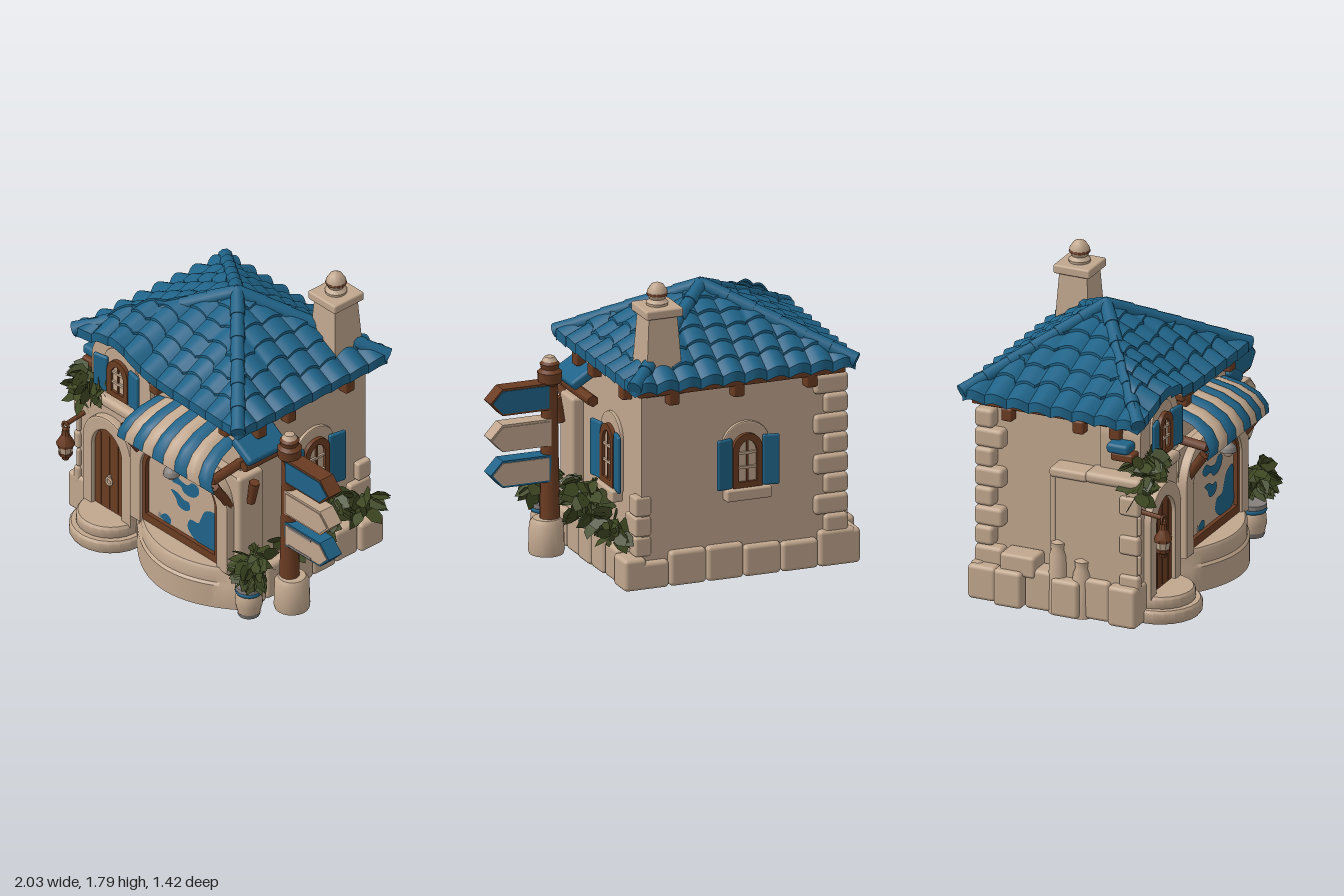
import * as THREE from 'three';
import { mergeGeometries, toCreasedNormals } from 'three/addons/utils/BufferGeometryUtils.js';
import { RoundedBoxGeometry } from 'three/addons/geometries/RoundedBoxGeometry.js';

const mat = (name, color, side = THREE.FrontSide) => {
  const m = new THREE.MeshStandardMaterial({ color, side });
  m.name = name;
  return m;
};
const stone = mat('stone', 0xc1a78e, THREE.DoubleSide), blue = mat('blue tile', 0x1f6388, THREE.DoubleSide);
const wood = mat('wood', 0x6b3c22), leafGreen = mat('leaf', 0x3d4722, THREE.DoubleSide), grey = mat('grey', 0x85807d);

let seed = 7;
const rnd = () => (seed = (seed * 16807) % 2147483647) / 2147483647;
const V = (x, y, z) => new THREE.Vector3(x, y, z);

function add(parent, name, geo, material, x = 0, y = 0, z = 0) {
  const m = new THREE.Mesh(geo, material);
  m.name = name;
  m.position.set(x, y, z);
  parent.add(m);
  return m;
}
// Box given by its minimum and maximum corners
function block(parent, name, material, a, b, r = 0.012) {
  const s = b.map((v, i) => v - a[i]);
  const geo = r ? new RoundedBoxGeometry(...s, 2, Math.min(r, ...s.map(v => v * 0.45))) : new THREE.BoxGeometry(...s);
  return add(parent, name, geo, material, ...a.map((v, i) => (v + b[i]) / 2));
}
// Thin walls: only the listed sides of a box (0 +x, 1 -x, 2 top, 4 front, 5 back)
function shell(parent, name, a, b, sides) {
  const geo = block(parent, name, stone, a, b, 0).geometry, i = Array.from(geo.index.array);
  geo.setIndex(sides.flatMap(s => i.slice(s * 6, s * 6 + 6)));
  geo.clearGroups();
}
function beam(parent, name, material, a, b, r0, r1 = r0, sides = 10) {
  const d = b.clone().sub(a), m = add(parent, name, new THREE.CylinderGeometry(r1, r0, d.length(), sides), material);
  m.position.copy(a).addScaledVector(d, 0.5);
  m.quaternion.setFromUnitVectors(V(0, 1, 0), d.normalize());
}
function lathe(parent, name, material, pts, x, y, z, sides = 20) {
  const geo = new THREE.LatheGeometry(pts.map(p => new THREE.Vector2(...p)), sides);
  return add(parent, name, toCreasedNormals(geo, 0.7), material, x, y, z);
}
// Upright opening with rounded top corners
function arch(w, h, rx, ry, y0 = 0) {
  const s = new THREE.Shape();
  s.moveTo(-w / 2, y0).lineTo(w / 2, y0).lineTo(w / 2, h - ry);
  s.absellipse(w / 2 - rx, h - ry, rx, ry, 0, Math.PI / 2);
  s.absellipse(-w / 2 + rx, h - ry, rx, ry, Math.PI / 2, Math.PI);
  return s.closePath();
}
const extrude = (shape, depth, bevel = 0) => new THREE.ExtrudeGeometry(shape, {
  depth, bevelEnabled: bevel > 0, bevelSize: bevel, bevelThickness: bevel, bevelSegments: 2, curveSegments: 12 });
// Frame closed all round, and moulding open at the foot
function archFrame(w, h, rx, ry, t, depth) {
  const s = arch(w, h, rx, ry);
  s.holes.push(arch(w - 2 * t, h - t, rx - t / 2, ry - t / 2, t));
  return extrude(s, depth);
}
function archMoulding(w, h, rx, ry, t, depth, bevel) {
  const outer = arch(w, h, rx, ry).getPoints(12).slice(1);
  const inner = arch(w - 2 * t, h - t, rx - t / 2, ry - t / 2).getPoints(12).slice(1);
  return extrude(new THREE.Shape([...outer, ...inner.reverse()]), depth, bevel);
}
// Surface through a grid of points f(i, j), facing i cross j
function gridGeo(nu, nv, f) {
  const pos = [], idx = [];
  for (let j = 0; j <= nv; j++) for (let i = 0; i <= nu; i++) pos.push(...f(i / nu, j).toArray());
  for (let j = 0; j < nv; j++) for (let i = 0; i < nu; i++) {
    const a = j * (nu + 1) + i, c = a + nu + 1;
    idx.push(a, a + 1, c + 1, a, c + 1, c);
  }
  const g = new THREE.BufferGeometry();
  g.setAttribute('position', new THREE.Float32BufferAttribute(pos, 3));
  g.setIndex(idx);
  g.computeVertexNormals();
  return toCreasedNormals(g, 0.7);
}

// One tiled slope: rounded tile columns in overlapping rows, with a lip at the eave
function roofSide(parent, A, B, P, cols, brow) {
  const along = B.clone().sub(A), sP = P.clone().sub(A).dot(along) / along.lengthSq();
  const out = V(-along.z, 0, along.x).normalize(), rows = 6;
  add(parent, 'roofSlope', gridGeo(cols * 8, rows * 2, (s, j) => {
    const k = s < sP ? s / sP : (1 - s) / (1 - sP), col = Math.min(cols - 1, Math.floor(s * cols));
    const row = Math.floor((j - 1) / 2), top = (j - 1) % 2;
    const level = j < 2 ? 0 : (row + top) / rows + (row + top < rows ? 0.022 * Math.sin(col * 2.4) : 0);
    const up = Math.min(k, Math.max(0, level));
    const e = A.clone().lerp(B, s), hip = (s < sP ? A : B).clone().lerp(P, k);
    const p = e.lerp(hip, k > 1e-6 ? up / k : 0), wave = Math.abs(Math.sin(Math.PI * s * cols));
    p.y += 0.03 * wave * (1 - up * 0.5) + (top === 1 ? 0.002 : 0.018) + 0.02 * Math.sin(Math.PI * up);
    if (up === 0) p.addScaledVector(out, 0.025 * wave);
    if (brow) p.y += 0.09 * Math.exp(-(((p.x + 0.6) / 0.2) ** 2)) * (1 - up);
    if (j === 0) p.y -= 0.06;
    return p;
  }), blue);
}
function roof(g) {
  const P = V(-0.185, 1.605, -0.1);
  const c = [V(-0.94, 1.23, 0.46), V(0.46, 1.23, 0.49), V(0.46, 1.23, -0.665), V(-0.9, 1.23, -0.665)];
  c.forEach((A, i) => {
    roofSide(g, A, c[(i + 1) % 4], P, i % 2 ? 8 : 10, i === 0);
    for (let n = 0; n < 6; n++) {
      const a = A.clone().lerp(P, n / 6 - 0.01), b = A.clone().lerp(P, (n + 1) / 6 + 0.01);
      a.y += 0.02; b.y += 0.02;
      beam(g, 'hipTile', blue, a, b, 0.044, 0.038);
    }
  });
  add(g, 'roofPeak', new THREE.SphereGeometry(0.042, 12, 8), blue, P.x, P.y + 0.005, P.z);
  block(g, 'eaveBeam', wood, [-0.86, 1.165, -0.63], [0.42, 1.22, 0.36]);
  block(g, 'eaveBeam', wood, [-0.34, 1.17, 0.3], [0.42, 1.22, 0.46]);
  for (const z of [-0.4, 0.05, 0.28]) for (const x of [-0.84, 0.4]) block(g, 'rafterEnd', wood, [x - 0.04, 1.1, z - 0.035], [x + 0.04, 1.18, z + 0.035]);
  for (const x of [-0.65, -0.2, 0.2]) block(g, 'rafterEnd', wood, [x - 0.035, 1.1, -0.63], [x + 0.035, 1.18, -0.55]);
  for (const x of [-0.28, 0.3]) block(g, 'rafterEnd', wood, [x - 0.035, 1.13, 0.38], [x + 0.035, 1.19, 0.47]);
}

// Shuttered window facing +z, sill at the local origin
function shutterWindow(parent, w, h, sw, x, y, z, ry, sill) {
  const g = new THREE.Group();
  g.name = 'shutteredWindow';
  g.position.set(x, y, z); g.rotation.y = ry;
  parent.add(g);
  add(g, 'windowSurround', extrude(arch(w + 0.09, h + 0.06, w / 2 + 0.045, w / 2 + 0.03), 0.012, 0.008), stone);
  add(g, 'windowFrame', archFrame(w, h, w / 2, w / 2, 0.035, 0.045), wood);
  add(g, 'windowPane', extrude(arch(w - 0.02, h - 0.02, w / 2 - 0.01, w / 2 - 0.01, 0.01), 0.028), stone);
  block(g, 'mullion', wood, [-0.006, 0.02, 0.02], [0.006, h - 0.02, 0.038], 0);
  for (const q of [0.35, 0.62]) block(g, 'mullion', stone, [-w / 2 + 0.03, h * q, 0.02], [w / 2 - 0.03, h * q + 0.015, 0.04], 0);
  for (const s of [-1, 1]) {
    const m = block(g, 'shutter', blue, [-sw / 2, 0, -0.012], [sw / 2, h * 0.94, 0.014]);
    m.position.x = s * (w / 2 + sw / 2 + 0.003); m.position.z = 0.04;
    m.rotation.y = -s * 0.2;
  }
  if (sill) block(g, 'windowSill', stone, [-w / 2 - 0.05, -0.07, 0], [w / 2 + 0.05, 0, 0.07]);
}

// Clump of broad leaves around an ellipsoid
const leafShape = new THREE.Shape().moveTo(0, 0).lineTo(0.045, 0.03).lineTo(0.04, 0.075).lineTo(0, 0.12).lineTo(-0.04, 0.075).lineTo(-0.045, 0.03).closePath();
function foliage(parent, x, y, z, rx, ry, rz, n = 30) {
  const leaves = [];
  for (let i = 0; i < n; i++) {
    const d = V(rnd() - 0.5, rnd() - 0.5, rnd() - 0.5).normalize();
    const l = new THREE.ShapeGeometry(leafShape).toNonIndexed();
    l.rotateY(rnd() * 6.28);
    l.applyQuaternion(new THREE.Quaternion().setFromUnitVectors(V(0, 1, 0), V(d.x, d.y * 0.4 - 0.35, d.z).normalize()));
    leaves.push(l.translate(d.x * rx * 0.5, d.y * ry * 0.8 + 0.02, d.z * rz * 0.5));
  }
  leaves.push(new THREE.IcosahedronGeometry(1, 0).scale(rx * 0.8, ry * 0.85, rz * 0.8));
  add(parent, 'foliage', mergeGeometries(leaves), leafGreen, x, y, z);
}

function walls(g) {
  shell(g, 'mainWalls', [-0.82, 0.02, -0.57], [0.38, 1.2, 0.4], [0, 1, 5]);
  shell(g, 'upperFrontWall', [-0.82, 0.88, 0.3], [0.38, 1.2, 0.4], [4]);
  shell(g, 'entranceBlock', [-0.93, 0.02, -0.08], [-0.41, 0.88, 0.45], [1, 4]);
  block(g, 'entranceReturn', stone, [-0.935, 0.02, -0.1], [-0.81, 0.88, -0.06], 0.015);
  block(g, 'entranceLedge', stone, [-0.95, 0.84, 0.12], [-0.4, 0.91, 0.48], 0.03);
  block(g, 'sideCoping', stone, [-0.95, 0.84, -0.1], [-0.8, 0.9, 0.14], 0.02);
  add(g, 'gable', extrude(arch(0.48, 0.43, 0.24, 0.2), 0.24, 0.01), stone, -0.59, 0.88, 0.18);
  // Foundation stones along the sides and back
  for (let i = 0; i < 6; i++) {
    const z = -0.61 + i * 0.18, h = 0.2 + 0.05 * rnd();
    block(g, 'foundationStone', stone, [0.36, 0.01, z], [0.47 + 0.03 * rnd(), h, z + 0.178], 0.025);
    block(g, 'foundationStone', stone, [-0.96 - 0.04 * (i % 2), 0.01, z], [-0.82, h + 0.02, z + 0.178], 0.025);
  }
  for (let i = 0; i < 6; i++) block(g, 'foundationStone', stone, [-0.93 + i * 0.23, 0.01, -0.61], [-0.703 + i * 0.23, 0.17 + 0.07 * rnd(), -0.53], 0.025);
  // Corner quoins
  for (let i = 0; i < 8; i++) {
    const y = 0.2 + i * 0.12, l = i % 2 ? 0.06 : 0;
    block(g, 'quoin', stone, [-0.89, y, -0.6], [-0.74 + l, y + 0.117, -0.42 - l], 0.025);
    if (i < 3) block(g, 'quoin', stone, [0.32, y, -0.578], [0.42, y + 0.117, -0.48 + l], 0.015);
    if (i < 5) block(g, 'quoin', stone, [-0.95 + l * 0.4, y, 0.34 + l], [-0.9, y + 0.117, 0.47], 0.02);
  }
  for (const [z, h] of [[-0.05, 0.45], [0.1, 0.36]]) lathe(g, 'sidePost', stone, [[0.06, 0], [0.055, h - 0.1], [0.04, h - 0.06], [0.045, h - 0.02], [0, h]], -0.92, 0.01, z, 12);
  block(g, 'sideLedge', stone, [-0.97, 0.2, -0.4], [-0.82, 0.33, -0.18], 0.02);
  // Small tiled hood beside the shop, with its beam and bracket
  const hood = block(g, 'sideHood', blue, [-0.09, -0.03, -0.15], [0.09, 0.03, 0.15], 0.02);
  hood.position.set(0.425, 1.06, 0.29); hood.rotation.z = -0.55;
  beam(g, 'hoodBeam', wood, V(0.43, 0.96, 0.02), V(0.43, 0.96, 0.42), 0.035, 0.035, 6);
  beam(g, 'hoodBracket', wood, V(0.47, 0.73, 0.4), V(0.5, 0.88, 0.4), 0.025, 0.032, 6);
  block(g, 'sideHood', blue, [-0.95, 1.05, 0.26], [-0.84, 1.11, 0.4], 0.02);
  block(g, 'hoodBeam', wood, [-0.93, 1.0, 0.28], [-0.84, 1.05, 0.42]);
}

function entrance(g) {
  add(g, 'doorSurround', archMoulding(0.38, 0.63, 0.19, 0.19, 0.055, 0.035, 0.012), stone, -0.64, 0.15, 0.45);
  add(g, 'door', extrude(arch(0.28, 0.57, 0.14, 0.14), 0.03), wood, -0.64, 0.15, 0.44);
  for (const x of [-0.07, 0, 0.07]) block(g, 'doorSeam', wood, [-0.643 + x, 0.17, 0.465], [-0.637 + x, 0.66, 0.474], 0);
  add(g, 'doorHandle', new THREE.TorusGeometry(0.022, 0.008, 6, 14), stone, -0.635, 0.36, 0.48);
  block(g, 'doorLatch', stone, [-0.645, 0.33, 0.47], [-0.625, 0.4, 0.482], 0);
  for (const [r, y, h] of [[0.24, 0.01, 0.08], [0.2, 0.08, 0.08]])
    lathe(g, 'step', stone, [[r - 0.01, 0], [r, 0.015], [r, h - 0.015], [r - 0.012, h], [0, h]], -0.64, y, 0.46, 24);
  // Hanging lantern
  beam(g, 'lanternArm', wood, V(-0.88, 0.7, 0.42), V(-0.88, 0.68, 0.59), 0.014);
  add(g, 'lanternRing', new THREE.TorusGeometry(0.025, 0.008, 6, 12), wood, -0.88, 0.67, 0.59);
  lathe(g, 'lanternRoof', wood, [[0.052, 0.54], [0.055, 0.56], [0.025, 0.61], [0.02, 0.65], [0, 0.66]], -0.88, 0, 0.59, 8);
  lathe(g, 'lanternGlass', stone, [[0.035, 0.48], [0.048, 0.55]], -0.88, 0, 0.59, 8);
  lathe(g, 'lanternBase', wood, [[0, 0.44], [0.02, 0.445], [0.025, 0.465], [0.04, 0.475], [0.042, 0.495], [0, 0.5]], -0.88, 0, 0.59, 8);
}

function shopFront(g) {
  // Bowed base with a sill
  const bow = new THREE.QuadraticBezierCurve3(V(-0.42, 0, 0.46), V(0.02, 0, 0.84), V(0.46, 0, 0.46));
  const baseProfile = [[0, 0.01], [0, 0.16], [0.015, 0.175], [0.015, 0.25], [0.03, 0.27], [0.2, 0.27]];
  add(g, 'bayBase', gridGeo(24, 5, (s, j) => {
    const p = bow.getPoint(s);
    return V(p.x, baseProfile[j][1], Math.max(0.44, p.z - baseProfile[j][0]));
  }), stone);
  shell(g, 'bayWall', [-0.42, 0.2, 0.38], [0.42, 0.9, 0.465], [2, 4]);
  block(g, 'bayEndWall', stone, [0.37, 0.02, 0.28], [0.45, 0.9, 0.468], 0.02);
  add(g, 'baySurround', archMoulding(0.8, 0.65, 0.26, 0.24, 0.07, 0.05, 0.012), stone, -0.01, 0.26, 0.46);
  add(g, 'displayFrame', archFrame(0.68, 0.59, 0.22, 0.2, 0.05, 0.045), wood, -0.01, 0.27, 0.46);
  add(g, 'displayPane', extrude(arch(0.64, 0.56, 0.2, 0.18), 0.02), stone, -0.01, 0.28, 0.46);
  // Painted patches on the pane
  const blobs = [
    [blue, [[-0.14, 0.67], [-0.09, 0.7], [-0.03, 0.67], [0.03, 0.665], [0.07, 0.7], [0.12, 0.69], [0.12, 0.64], [0.07, 0.6], [0, 0.6], [-0.03, 0.63], [-0.1, 0.63]]],
    [blue, [[-0.11, 0.57], [-0.06, 0.575], [0, 0.55], [0.04, 0.55], [0.05, 0.51], [0.01, 0.48], [-0.05, 0.49], [-0.07, 0.53]]],
    [blue, [[0.03, 0.38], [0.05, 0.44], [0.12, 0.45], [0.14, 0.49], [0.18, 0.56], [0.26, 0.58], [0.27, 0.45], [0.27, 0.34], [0.18, 0.315], [0.08, 0.33]]],
    [blue, [[-0.2, 0.34], [-0.15, 0.38], [-0.11, 0.36], [-0.12, 0.325]]],
    [grey, [[-0.22, 0.34], [-0.2, 0.37], [-0.19, 0.33]]],
    [blue, [[-0.16, 0.8], [0, 0.81], [0.16, 0.8], [0.15, 0.765], [0, 0.775], [-0.12, 0.765]]],
    [grey, [[-0.22, 0.79], [-0.17, 0.8], [-0.15, 0.77], [-0.19, 0.76]]],
    [grey, [[0.17, 0.8], [0.23, 0.78], [0.2, 0.76], [0.16, 0.77]]],
  ];
  for (const [m, pts] of blobs) {
    const s = new THREE.Shape().setFromPoints(new THREE.CatmullRomCurve3(pts.map(p => V(...p, 0)), true).getPoints(40).map(p => new THREE.Vector2(p.x, p.y)));
    add(g, 'panePatch', new THREE.ShapeGeometry(s), m, 0, 0, 0.484);
  }
  // Striped awning
  const prof = [[0.7, 0.92], [0.69, 0.98], [0.63, 1.05], [0.53, 1.1], [0.4, 1.13]], n = 9;
  for (let i = 0; i < n; i++) add(g, 'awningStripe', gridGeo(4, 4, (s, j) => {
    const u = ((i + s) / n) * 2 - 1, [z, y] = prof[j], puff = 0.01 * Math.sin(Math.PI * s);
    return V(0.01 + u * (0.41 - 0.02 * j), y - 0.06 * u * u + puff, z - 0.065 * u * u * (4 - j) / 4 + puff);
  }), i % 2 ? stone : blue);
  for (const x of [-0.36, 0.38]) {
    beam(g, 'awningBeam', wood, V(x, 0.96, 0.36), V(x, 0.93, 0.62), 0.03, 0.03, 6);
    beam(g, 'awningBracket', wood, V(x, 0.7, 0.48), V(x, 0.88, 0.6), 0.025, 0.03, 6);
  }
  const rail = new THREE.QuadraticBezierCurve3(V(-0.37, 0.87, 0.62), V(0.01, 0.95, 0.7), V(0.39, 0.87, 0.62));
  add(g, 'awningRail', new THREE.TubeGeometry(rail, 16, 0.015, 6), wood);
  lathe(g, 'shopLamp', grey, [[0.05, 0.77], [0.045, 0.8], [0.015, 0.83], [0.012, 0.9]], 0, 0, 0.58, 14);
  add(g, 'lampBulb', new THREE.SphereGeometry(0.03, 12, 8), stone, 0, 0.765, 0.58);
}

function signpost(g) {
  const x = 0.61, z = 0.23;
  lathe(g, 'postFoot', stone, [[0, 0], [0.1, 0], [0.105, 0.02], [0.1, 0.18], [0.08, 0.21], [0, 0.21]], 0.63, 0.02, z);
  lathe(g, 'post', wood, [[0.06, 0.2], [0.052, 0.6], [0.046, 1.02], [0.068, 1.04], [0.072, 1.1], [0.05, 1.12], [0.058, 1.15], [0.03, 1.18]], x, 0, z, 12);
  lathe(g, 'postCap', stone, [[0.045, 1.165], [0.03, 1.19], [0, 1.2]], x, 0, z, 12);
  for (const [y, body, face] of [[0.965, wood, blue], [0.75, stone, stone], [0.535, blue, stone]]) {
    const arrow = (e) => new THREE.Shape().moveTo(e, -0.08 + e).lineTo(0.3, -0.08 + e).lineTo(0.375 - e, 0).lineTo(0.3, 0.08 - e).lineTo(e, 0.08 - e).closePath();
    add(g, 'signBoard', extrude(arrow(0), 0.1), body, x + 0.01, y, 0.18);
    for (const f of [0.278, 0.174]) add(g, 'signFace', extrude(arrow(0.013), 0.008), face, x + 0.01, y, f);
  }
  for (const s of [-1, 1]) block(g, 'signTrim', grey, [0.66, 0.535 + s * 0.062 - 0.008, 0.28], [0.85, 0.535 + s * 0.062 + 0.008, 0.288], 0);
}

function chimney(g) {
  const c = add(g, 'chimneyStack', new THREE.CylinderGeometry(0.122, 0.165, 0.48, 4, 1).rotateY(Math.PI / 4).toNonIndexed(), stone, 0.24, 1.39, -0.47);
  c.geometry.computeVertexNormals();
  block(g, 'chimneyCap', stone, [0.125, 1.61, -0.585], [0.355, 1.665, -0.355]);
  lathe(g, 'chimneyPot', stone, [[0.062, 1.66], [0.065, 1.68], [0.045, 1.7], [0.06, 1.725], [0.058, 1.75], [0.035, 1.785], [0, 1.8]], 0.24, 0, -0.47, 14);
  add(g, 'chimneyPotBand', new THREE.TorusGeometry(0.054, 0.009, 6, 16).rotateX(Math.PI / 2), wood, 0.24, 1.73, -0.47);
}

export function createModel() {
  const g = new THREE.Group();
  g.name = 'cottageShop';
  walls(g);
  roof(g);
  entrance(g);
  shopFront(g);
  signpost(g);
  chimney(g);
  shutterWindow(g, 0.17, 0.25, 0.1, -0.58, 0.95, 0.425, 0, false);
  shutterWindow(g, 0.19, 0.36, 0.11, 0.38, 0.52, -0.16, Math.PI / 2, true);
  shutterWindow(g, 0.18, 0.32, 0.1, -0.26, 0.55, -0.57, Math.PI, true);
  // Potted plant
  lathe(g, 'plantPot', stone, [[0, 0], [0.06, 0], [0.08, 0.08], [0.075, 0.14], [0.06, 0.17]], 0.54, 0.04, 0.48);
  lathe(g, 'potRim', grey, [[0.06, 0.2], [0.08, 0.215], [0.08, 0.24], [0, 0.235]], 0.54, 0, 0.48);
  lathe(g, 'potFoot', grey, [[0.062, 0.038], [0.074, 0.07]], 0.54, 0, 0.48);
  add(g, 'potBand', new THREE.TorusGeometry(0.068, 0.014, 6, 18).rotateX(Math.PI / 2), blue, 0.54, 0.2, 0.48);
  foliage(g, 0.58, 0.37, 0.47, 0.09, 0.1, 0.1, 40);
  // Creepers and side planting
  foliage(g, -0.81, 0.94, 0.44, 0.13, 0.08, 0.08, 50);
  foliage(g, -0.9, 0.83, 0.44, 0.03, 0.1, 0.04, 16);
  foliage(g, 0.5, 0.34, -0.45, 0.06, 0.09, 0.1, 22);
  foliage(g, 0.54, 0.49, -0.15, 0.1, 0.08, 0.08);
  foliage(g, 0.48, 0.34, -0.12, 0.04, 0.1, 0.04, 12);
  foliage(g, 0.47, 0.32, 0.09, 0.05, 0.09, 0.08, 20);
  return g;
}
